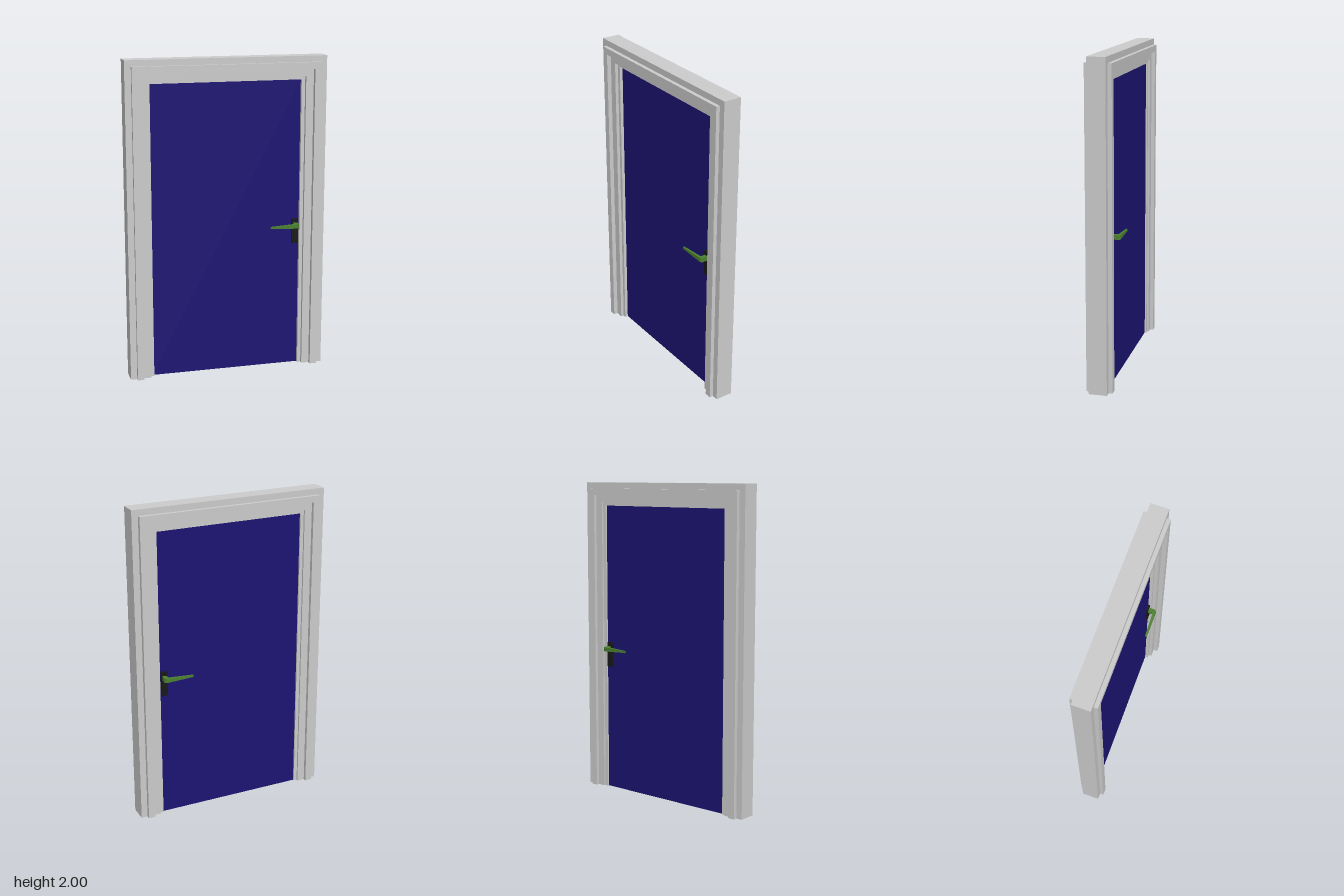
import * as THREE from 'three';

const W = 0.63, H = 2;
const DOOR_FRONT = 0.02, DOOR_BACK = -0.03;

const mat = (color, side = THREE.FrontSide) =>
  new THREE.MeshStandardMaterial({ color, side, flatShading: true });

function part(name, geometry, material, x = 0, y = 0, z = 0) {
  const mesh = new THREE.Mesh(geometry, material);
  mesh.name = name;
  mesh.position.set(x, y, z);
  return mesh;
}

// Hollow stepped profile [inset, z] swept up, across and down with mitred corners
function frameGeometry() {
  const profile = [
    [0, 0.063], [0.04, 0.063], [0.04, 0.087], [0.083, 0.087], [0.083, 0.06],
    [0.132, 0.06], [0.132, 0.04], [0.154, 0.04],
    [0.154, -0.04], [0.132, -0.04], [0.132, -0.052], [0.083, -0.052],
    [0.083, -0.074], [0.04, -0.074], [0.04, -0.049], [0, -0.049],
  ];
  const stations = [
    ([d, z]) => [-W + d, 0, z],
    ([d, z]) => [-W + d, H - d * 0.95, z],
    ([d, z]) => [W - d, H - d * 0.95, z],
    ([d, z]) => [W - d, 0, z],
  ];
  const pos = [];
  for (let s = 0; s < 3; s++) {
    profile.forEach((p, i) => {
      const q = profile[(i + 1) % profile.length];
      const a = stations[s](p), b = stations[s](q);
      const c = stations[s + 1](q), d = stations[s + 1](p);
      pos.push(...a, ...b, ...c, ...a, ...c, ...d);
    });
  }
  const g = new THREE.BufferGeometry();
  g.setAttribute('position', new THREE.Float32BufferAttribute(pos, 3));
  g.computeVertexNormals();
  return g;
}

// L-shaped lever drawn in plan, extruded in height and thinned towards the tip
function leverGeometry() {
  const s = new THREE.Shape();
  [[0.437, 0], [0.463, 0], [0.463, 0.05], [0.453, 0.06], [0.275, 0.06],
    [0.275, 0.049], [0.425, 0.044], [0.437, 0.038]]
    .forEach(([x, z], i) => (i ? s.lineTo(x, z) : s.moveTo(x, z)));
  const g = new THREE.ExtrudeGeometry(s, { depth: 2, bevelEnabled: false });
  g.translate(0, 0, -1);
  g.rotateX(Math.PI / 2);
  g.scale(1, 1, 1);
  const p = g.attributes.position;
  for (let i = 0; i < p.count; i++) {
    const t = THREE.MathUtils.clamp((p.getX(i) - 0.275) / 0.16, 0, 1);
    p.setY(i, p.getY(i) * THREE.MathUtils.lerp(0.006, 0.014, t));
  }
  g.computeVertexNormals();
  return g;
}

export function createModel() {
  const model = new THREE.Group();
  model.name = 'door';

  model.add(part('frame', frameGeometry(), mat(0xcccccc, THREE.DoubleSide)));

  // Door leaf
  model.add(part('doorLeaf',
    new THREE.BoxGeometry(0.966, 1.86, DOOR_FRONT - DOOR_BACK),
    mat(0x1c1473), 0, 0.93, (DOOR_FRONT + DOOR_BACK) / 2));

  // Handle sets on both faces
  const black = mat(0x181818);
  const green = mat(0x4c8030, THREE.DoubleSide);
  for (const [name, z, dir] of [['frontHandle', DOOR_FRONT, 1], ['backHandle', DOOR_BACK, -1]]) {
    const handle = new THREE.Group();
    handle.name = name;
    handle.position.z = z;
    handle.scale.z = dir;
    handle.add(part('handlePlate', new THREE.BoxGeometry(0.042, 0.16, 0.012), black, 0.449, 0.89, 0.006));
    handle.add(part('lever', leverGeometry(), green, 0, 0.93, 0));
    model.add(handle);
  }
  return model;
}
